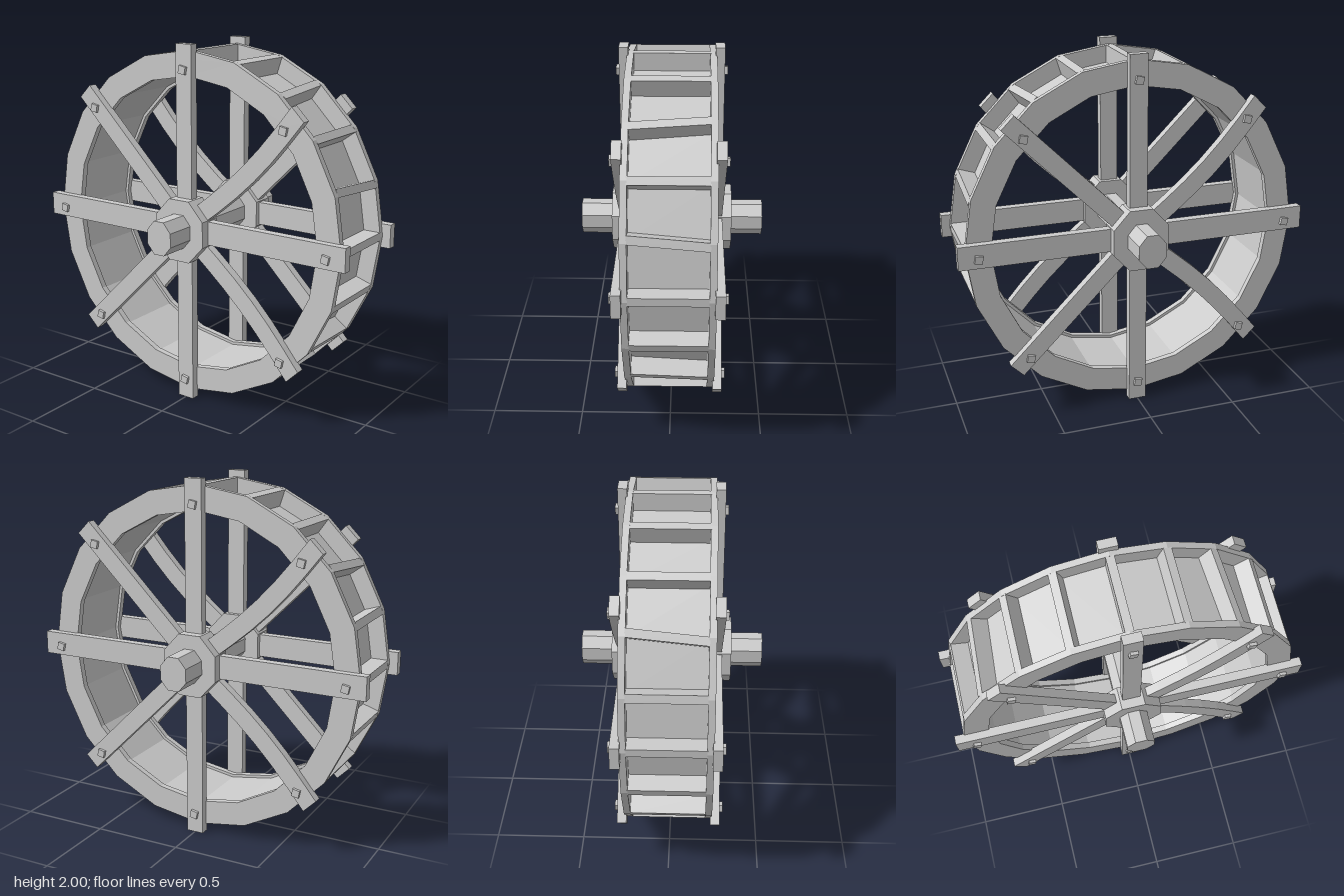
import * as THREE from 'three';

const SIDES = 20;
const mat = new THREE.MeshStandardMaterial({ color: 0xcccccc, flatShading: true });

function add(parent, name, geometry) {
  const mesh = new THREE.Mesh(geometry, mat);
  mesh.name = name;
  parent.add(mesh);
  return mesh;
}

// Faceted elliptical ring in the y-z plane, centred on x
function ringGeometry(outer, inner, x, thickness) {
  // Counter-clockwise, so that the walls of the hole face inwards
  const points = (r) => Array.from({ length: SIDES }, (_, i) => {
    const a = (i / SIDES) * Math.PI * 2;
    return new THREE.Vector2(-Math.sin(a) * (r - 0.012), Math.cos(a) * (r + 0.012));
  });
  const shape = new THREE.Shape(points(outer));
  shape.holes.push(new THREE.Path(points(inner)));
  const g = new THREE.ExtrudeGeometry(shape, { depth: thickness, bevelEnabled: false });
  return g.translate(0, 0, -thickness / 2).rotateY(-Math.PI / 2).translate(x, 0, 0);
}

// Octagonal prism along x with flats at top and bottom
function octagon(halfY, halfZ, length, x) {
  const c = Math.cos(Math.PI / 8);
  return new THREE.CylinderGeometry(1 / c, 1 / c, length, 8)
    .rotateZ(Math.PI / 2).rotateX(Math.PI / 8)
    .scale(1, halfY, halfZ).translate(x, 0, 0);
}

// Plank running outwards from the hub, bowed sideways a little
function spokeGeometry(angle, length, width, bend) {
  const start = 0.1;
  const g = new THREE.BoxGeometry(0.05, length - start, width, 1, 6, 1);
  g.translate(0, (length + start) / 2, 0);
  const p = g.attributes.position;
  for (let i = 0; i < p.count; i++) {
    const t = (p.getY(i) - start) / (length - start);
    p.setZ(i, p.getZ(i) + bend * Math.sin(Math.PI * t));
  }
  return g.rotateX(angle).translate(-0.253, 0, 0);
}

// One face of the wheel: rim, spokes, bolts and hub
function createSide() {
  const side = new THREE.Group();
  add(side, 'rim', ringGeometry(0.952, 0.815, -0.218, 0.036));
  add(side, 'hub', octagon(0.172, 0.157, 0.13, -0.265));
  for (let i = 0; i < 8; i++) {
    const angle = (i * Math.PI) / 4;
    const level = i % 4 === 2;
    const length = i % 4 === 0 ? 1 : 0.985;
    const width = level ? 0.13 : 0.1;
    const bend = i === 1 ? 0.035 : i === 3 ? -0.03 : 0;
    add(side, 'spoke', spokeGeometry(angle, length, width, bend));
    const bolt = add(side, 'bolt', new THREE.BoxGeometry(0.04, 0.042, 0.042));
    bolt.position.set(-0.275, Math.cos(angle) * 0.877 - 0.012, Math.sin(angle) * 0.877);
    bolt.rotation.x = 0.2;
  }
  return side;
}

export function createModel() {
  const model = new THREE.Group();
  model.name = 'waterWheel';
  const wheel = new THREE.Group();
  wheel.name = 'wheel';
  wheel.position.y = 1;
  model.add(wheel);

  // Axle through both hubs
  add(wheel, 'axle', octagon(0.092, 0.077, 1.01, 0));

  // Matching sides, turned half round
  for (const [name, turn] of [['rightSide', 0], ['leftSide', Math.PI]]) {
    const side = createSide();
    side.name = name;
    side.rotation.y = turn;
    wheel.add(side);
  }

  // Drum floor between the rims
  add(wheel, 'drum', ringGeometry(0.858, 0.832, 0, 0.41));

  // Paddles standing on the drum, a few of them set askew
  const skew = { 2: 0.08, 4: -0.08, 7: -0.09, 17: -0.09 };
  for (let i = 0; i < SIDES; i++) {
    const a = (i / SIDES) * Math.PI * 2;
    const paddle = add(wheel, 'paddle', new THREE.BoxGeometry(0.41, 0.1, 0.045));
    paddle.position.set(0, Math.cos(a) * 0.912, Math.sin(a) * 0.888);
    paddle.rotation.set(a, skew[i] ?? 0, 0);
  }
  return model;
}
